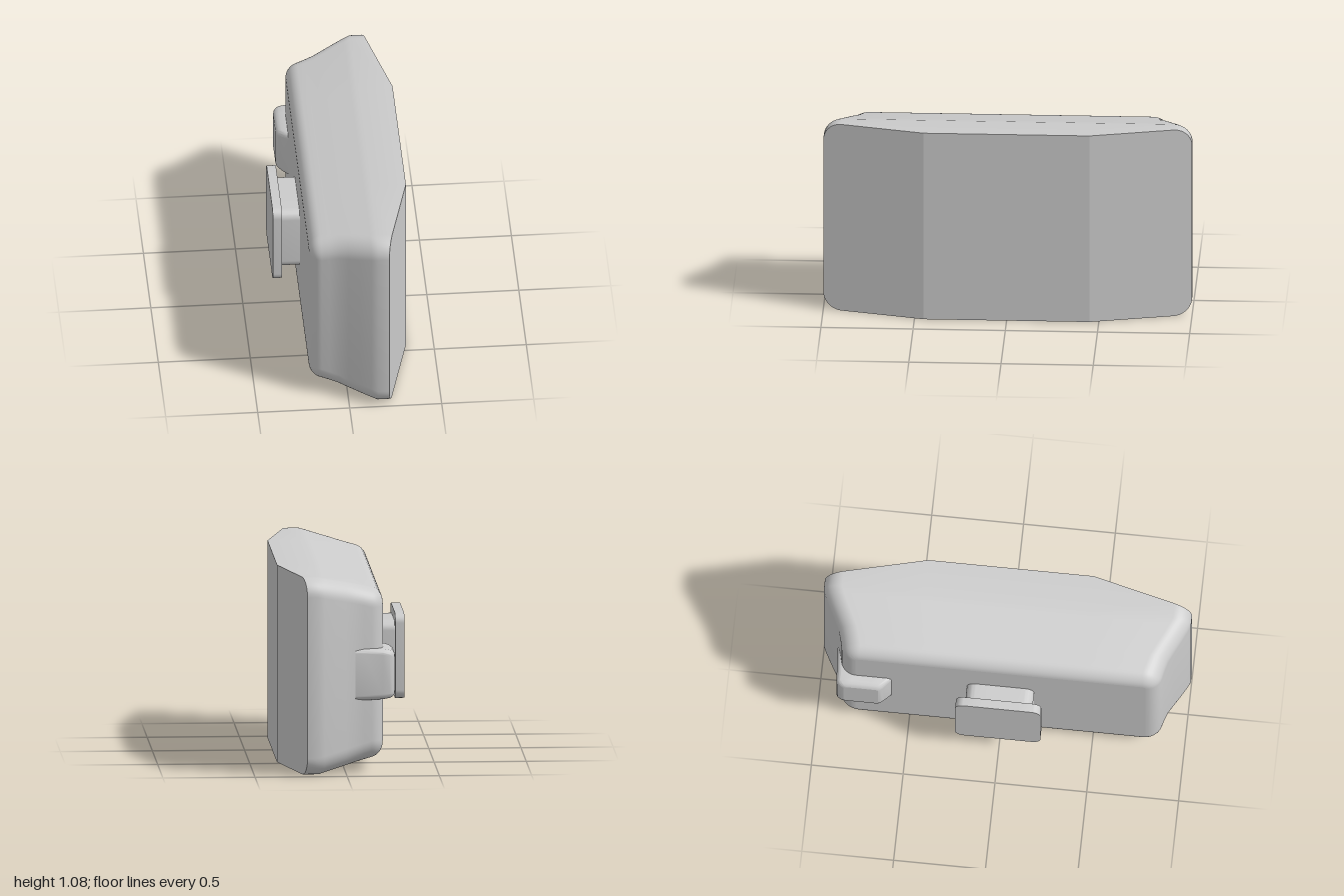
import * as THREE from 'three';
import { mergeGeometries, toCreasedNormals } from 'three/addons/utils/BufferGeometryUtils.js';

const ARC = 10;
const MID = 0.54; // height of the centre line

// Columns of a rounded rectangle in the z-y plane, from -z to +z: [z, half height]
function columns({ hy, hz, r }) {
  const half = [];
  for (let k = 0; k <= ARC; k++) {
    const t = (k / ARC) * Math.PI / 2;
    half.push([hz - r + r * Math.cos(t), hy - r + r * Math.sin(t)]);
  }
  half.push([Math.min(0.45, (hz - r) / 2), hy]);
  return [...half.map(([z, y]) => [-z, y]), ...half.reverse()];
}

// Lofts rounded rectangles along x; endX optionally bends the +x end by z
function loft(sections, endX) {
  const rings = sections.map((s, i) => {
    const cols = columns(s);
    const point = sign => ([z, y]) => {
      const x = endX && i === sections.length - 1 ? endX(z) : s.x;
      return [x, MID + sign * y, z + (s.cz || 0)];
    };
    return [...cols.map(point(1)), ...cols.map(point(-1)).reverse()];
  });
  const n = rings[0].length;
  const build = (tris, crease) => {
    const g = new THREE.BufferGeometry();
    g.setAttribute('position', new THREE.Float32BufferAttribute(tris.flat(), 3));
    return toCreasedNormals(g, crease);
  };
  const wall = [], caps = [];
  for (let i = 0; i < rings.length - 1; i++) {
    for (let j = 0; j < n; j++) {
      const k = (j + 1) % n;
      const a = rings[i][j], b = rings[i][k], c = rings[i + 1][j], d = rings[i + 1][k];
      wall.push(a, b, d, a, d, c);
    }
  }
  const first = rings[0], last = rings[rings.length - 1];
  for (let j = 0; j < n / 2 - 1; j++) {
    const k = n - 1 - j;
    caps.push(last[k], last[j], last[j + 1], last[k], last[j + 1], last[k - 1]);
    caps.push(first[k], first[j + 1], first[j], first[k], first[k - 1], first[j + 1]);
  }
  return mergeGeometries([build(wall, 0.5), build(caps, 0.1)]);
}

export function createModel() {
  const group = new THREE.Group();
  const material = new THREE.MeshStandardMaterial({ color: 0xcccccc });
  const add = (name, geometry) => {
    const mesh = new THREE.Mesh(geometry, material);
    mesh.name = name;
    group.add(mesh);
  };

  // Housing: filleted back, flaring sides, straight rim, three-facet face
  const body = [];
  const R = 0.085;
  for (let k = 0; k <= 8; k++) {
    const t = (k / 8) * 1.32;
    const out = R * Math.sin(t);
    body.push({ x: -0.205 + R * (1 - Math.cos(t)), hy: 0.385 + out, hz: 0.79 + out, r: 0.02 + out });
  }
  for (const [x, hy, hz] of [
    [-0.1, 0.477, 0.882], [-0.05, 0.49, 0.897], [0, 0.503, 0.923],
    [0.06, 0.517, 0.955], [0.12, 0.532, 0.985], [0.155, 0.54, 1], [0.215, 0.54, 1],
  ]) body.push({ x, hy, hz, r: 0.1 });
  add('housing', loft(body, z => 0.35 - Math.max(0, Math.abs(z) - 0.45) * 0.245));

  // Mounting foot: stem and wider plate
  add('mountStem', loft([
    { x: -0.306, hy: 0.185, hz: 0.183, r: 0.05 },
    { x: -0.2, hy: 0.185, hz: 0.183, r: 0.05 },
  ]));
  add('mountPlate', loft([
    { x: -0.355, hy: 0.233, hz: 0.232, r: 0.05 },
    { x: -0.305, hy: 0.233, hz: 0.232, r: 0.05 },
  ]));

  // Button: soft block wrapping the back edge at one end
  const button = [
    [-0.268, 0.105, -0.85, -0.66, 0.02], [-0.263, 0.117, -0.868, -0.648, 0.025],
    [-0.253, 0.126, -0.882, -0.638, 0.03], [-0.238, 0.132, -0.89, -0.623, 0.03],
    [-0.2, 0.138, -0.893, -0.588, 0.03], [-0.1, 0.142, -0.9, -0.57, 0.03],
    [-0.05, 0.142, -0.903, -0.57, 0.03],
  ].map(([x, hy, z0, z1, r]) => ({ x, hy, hz: (z1 - z0) / 2, cz: (z0 + z1) / 2, r }));
  add('button', loft(button));

  return group;
}
